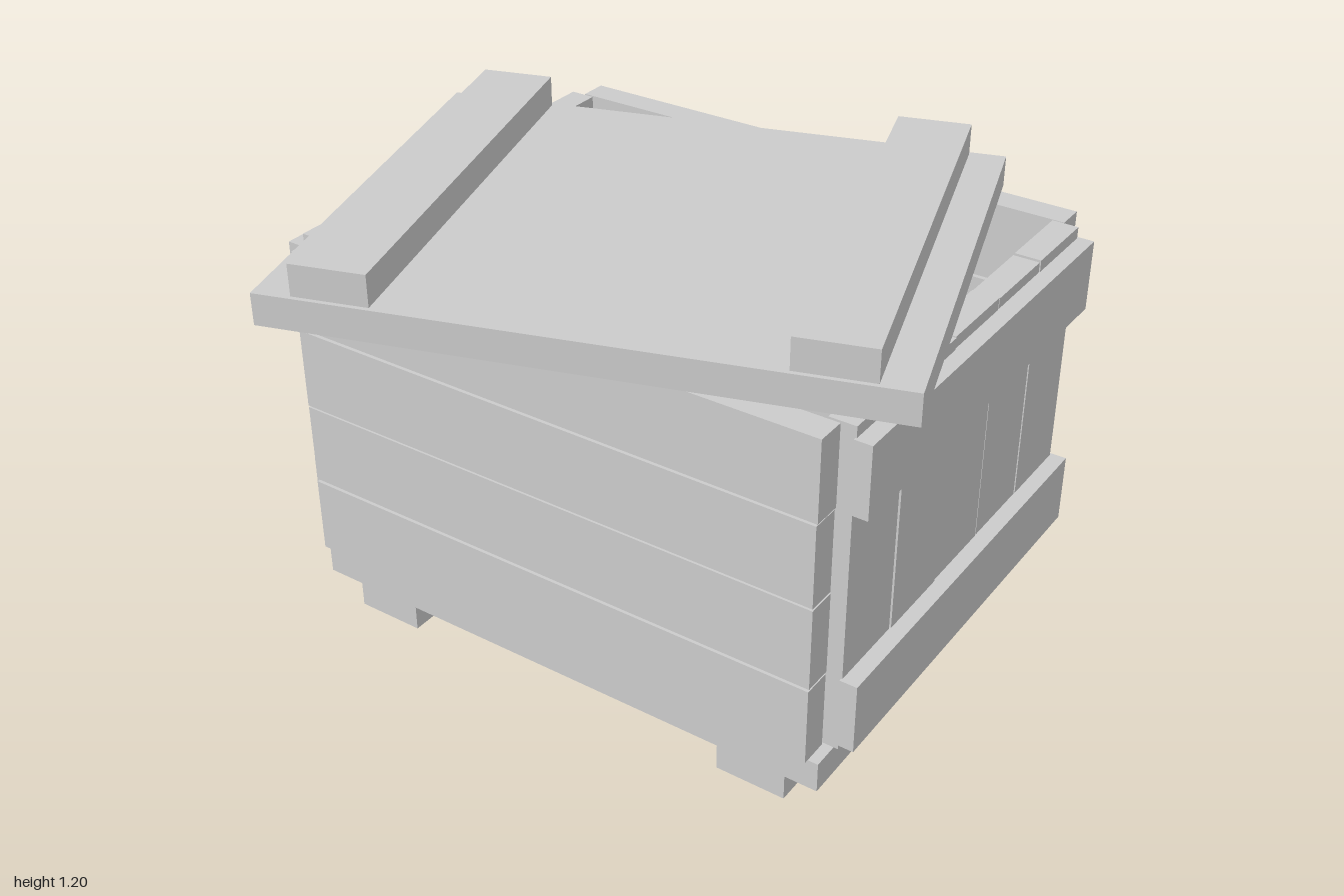
import * as THREE from 'three';

const material = new THREE.MeshStandardMaterial({ color: 0xcccccc, flatShading: true });

// Box with its bottom at y
function board(parent, name, size, x, y, z) {
  const mesh = new THREE.Mesh(new THREE.BoxGeometry(...size), material);
  mesh.name = name;
  mesh.position.set(x, y + size[1] / 2, z);
  parent.add(mesh);
  return mesh;
}

function turnedGroup(parent, name, x, z, degrees) {
  const group = new THREE.Group();
  group.name = name;
  group.position.set(x, 0, z);
  group.rotation.y = THREE.MathUtils.degToRad(-degrees);
  parent.add(group);
  return group;
}

// Large panel with two cross battens, used for base and lid
function battenedPanel(group, panelName, battenName, panelY, battenY) {
  board(group, panelName, [1.48, 0.08, 1.187], 0, panelY, 0);
  for (const side of [-1, 1]) {
    board(group, battenName, [0.185, 0.08, 1.165], side * 0.556, battenY, 0);
  }
}

export function createModel() {
  const crate = new THREE.Group();
  crate.name = 'openCrate';

  // Small repeatable unevenness of the hand-laid planks
  let seed = 7;
  const wobble = (amount) => {
    seed = (seed * 16807) % 2147483647;
    return (seed / 2147483647 - 0.5) * 2 * amount;
  };

  // Base on two feet
  const base = turnedGroup(crate, 'base', 0.035, 0.014, 45.3);
  battenedPanel(base, 'basePanel', 'foot', 0.08, 0);

  const walls = turnedGroup(crate, 'walls', 0.036, 0.003, 45.4);
  for (const side of [-1, 1]) {
    // Long sides: four stacked horizontal planks
    const rows = [[0.172, 0.377], [0.385, 0.6], [0.605, 0.819], [0.826, 1.034]];
    for (const [low, high] of rows) {
      const plank = board(walls, 'longSidePlank', [1.455, high - low, 0.075],
        wobble(0.004), low, side * 0.587);
      plank.rotation.z = wobble(0.001);
    }

    // Ends: five upright planks held by two horizontal battens
    for (let i = 0; i < 5; i++) {
      const plank = board(walls, 'endPlank', [0.068, 0.863, 0.213],
        side * 0.733 + wobble(0.003), 0.171 + wobble(0.003), (i - 2) * 0.218);
      plank.rotation.x = wobble(0.002);
    }
    for (const y of [0.19, 0.82]) {
      board(walls, 'endBatten', [0.045, 0.186, 1.1], side * 0.785, y, 0);
    }
  }

  // Loose lid, lying askew on the walls
  const lid = turnedGroup(crate, 'lid', -0.072, 0.098, 27.6);
  battenedPanel(lid, 'lidPanel', 'lidBatten', 1.04, 1.12);

  return crate;
}
